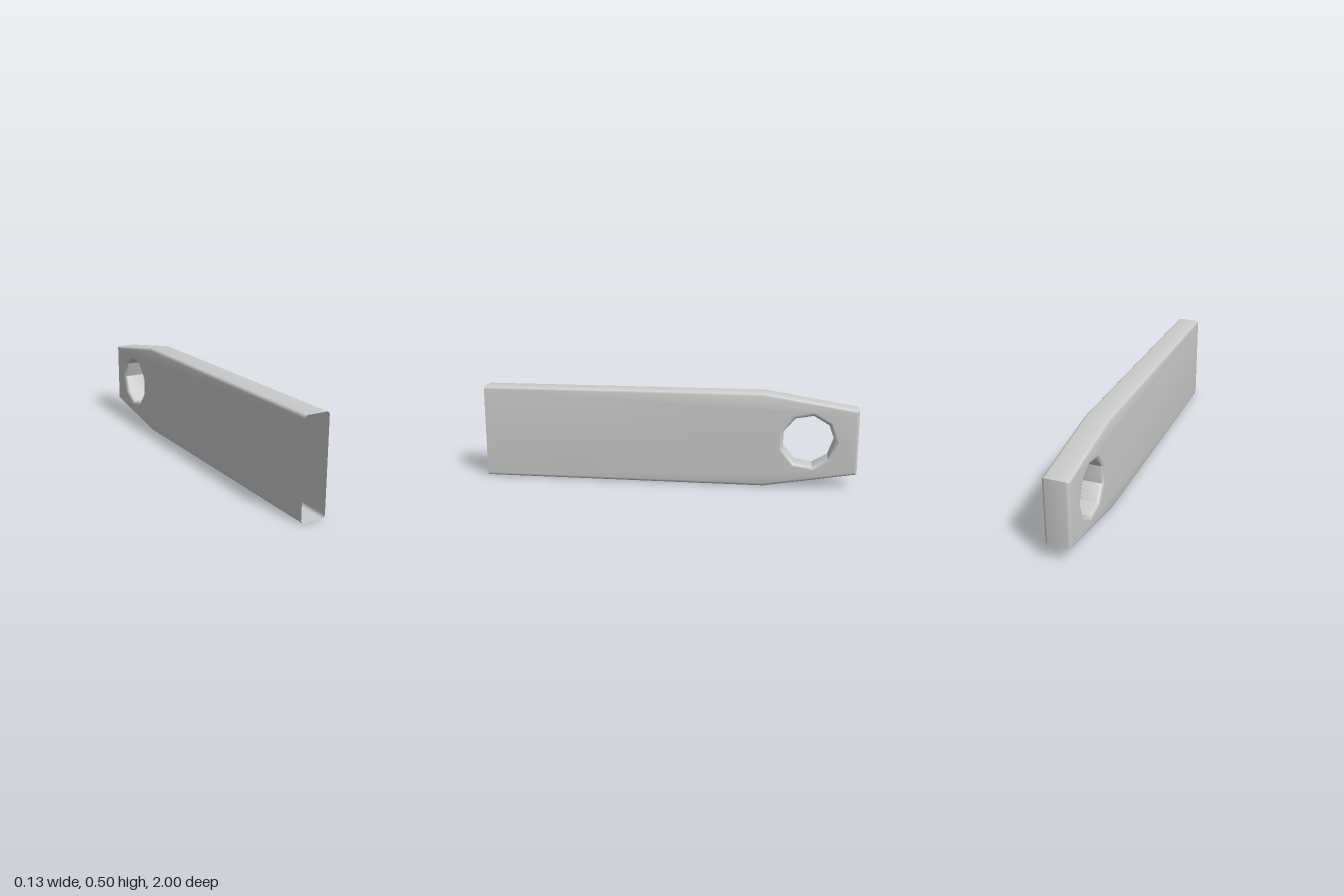
import * as THREE from 'three';
import { mergeGeometries, toCreasedNormals } from 'three/addons/utils/BufferGeometryUtils.js';

const HALF = 0.065, BEVEL = 0.016, HEIGHT = 0.5, STEPS = 3;
const HOLE_U = 0.745, HOLE_R = 0.137, HOLE_SIDES = 9;

// Open outline of the bar (u runs to the back), inset by t; the front end stays open
function outline(t) {
  const low = [[-1, t], [0.515, t], [1 - t, 0.08 + 0.85 * t]];
  const high = low.map(([u, y]) => [u, HEIGHT - y]).reverse();
  return [...low, ...high];
}

// Nine-sided hole, widened by t, running clockwise and closed
function holeRing(t) {
  const ring = [];
  for (let i = 0; i <= HOLE_SIDES; i++) {
    const a = -i / HOLE_SIDES * Math.PI * 2, r = HOLE_R + t * 1.1;
    ring.push([HOLE_U + r * Math.cos(a), HEIGHT / 2 + r * Math.sin(a)]);
  }
  return ring;
}

// Rounded edge: pairs of inset and sideways position, from one face to the other
function bevelLevels() {
  const half = [];
  for (let i = 0; i <= STEPS; i++) {
    const a = i / STEPS * Math.PI / 2;
    half.push([BEVEL * (1 - Math.sin(a)), HALF - BEVEL * (1 - Math.cos(a))]);
  }
  return [...half, ...half.map(([t, w]) => [t, -w]).reverse()];
}

// Wall swept through all bevel levels
function wall(ringAt) {
  const rings = bevelLevels().map(([t, w]) => ringAt(t).map(([u, y]) => [u, y, w]));
  const pos = [];
  for (let j = 0; j < rings.length - 1; j++) {
    for (let i = 0; i < rings[j].length - 1; i++) {
      const a = rings[j + 1][i], b = rings[j + 1][i + 1], c = rings[j][i + 1], d = rings[j][i];
      pos.push(...a, ...b, ...c, ...a, ...c, ...d);
    }
  }
  const g = new THREE.BufferGeometry();
  g.setAttribute('position', new THREE.Float32BufferAttribute(pos, 3));
  g.computeVertexNormals();
  return g;
}

// Flat side face with the hole cut out
function sideFace(sign) {
  const toVec = ([u, y]) => new THREE.Vector2(u, y);
  const shape = new THREE.Shape(outline(BEVEL).map(toVec));
  shape.holes.push(new THREE.Path(holeRing(BEVEL).slice(0, -1).map(toVec)));
  const g = new THREE.ShapeGeometry(shape).toNonIndexed();
  g.deleteAttribute('uv');
  if (sign < 0) {
    // turn the face over about the bar's long axis (the outline is symmetric)
    g.translate(0, -HEIGHT / 2, 0).rotateX(Math.PI).translate(0, HEIGHT / 2, 0);
  }
  return g.translate(0, 0, sign * HALF);
}

export function createModel() {
  const group = new THREE.Group();
  group.name = 'hollowBar';
  const material = new THREE.MeshStandardMaterial({ color: 0xcccccc, side: THREE.DoubleSide });
  const add = (name, geometry) => {
    const mesh = new THREE.Mesh(toCreasedNormals(geometry.rotateY(Math.PI / 2), 0.6), material);
    mesh.name = name;
    group.add(mesh);
  };
  // Shell: two side faces and the rounded rim, open at the front
  add('shell', mergeGeometries([sideFace(1), sideFace(-1), wall(outline)]));
  // Faceted tube lining the hole
  add('holeLining', wall(holeRing));
  return group;
}
